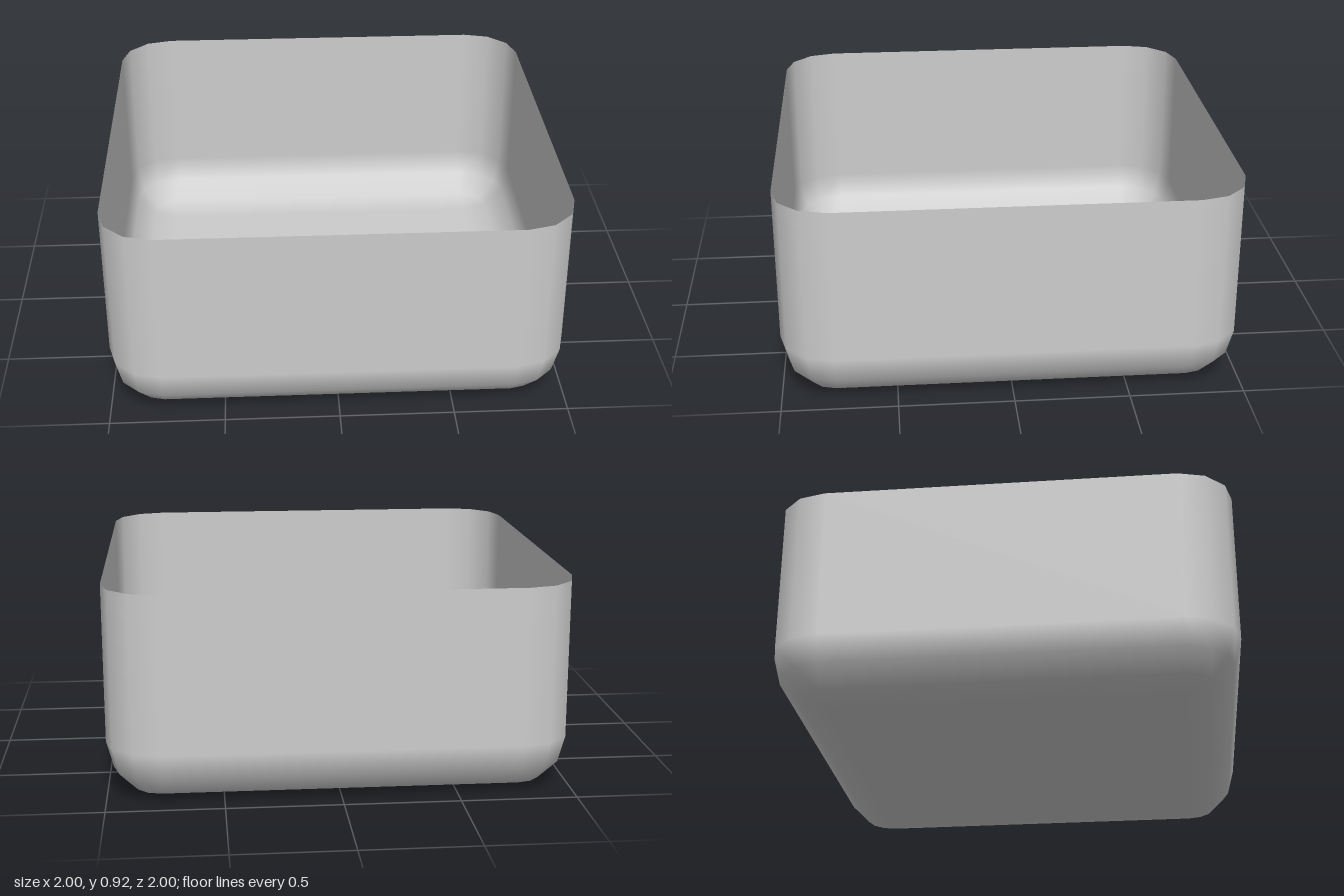
import * as THREE from 'three';

const R = 0.235;        // radius of every rounded edge
const CORE = 1 - R;     // distance from the centre to a corner's axis
const HEIGHT = 0.92;
const SEG = 3;          // facets per quarter round

// Open tray: rounded-square rings stacked from the floor to the rim
function trayGeometry() {
  const pos = [], nor = [], index = [];
  const n = 4 * (SEG + 1);
  const addRing = (phi, y) => {
    for (let corner = 0; corner < 4; corner++) {
      const mid = (corner + 0.5) * Math.PI / 2;
      const cx = CORE * Math.sign(Math.cos(mid)), cz = CORE * Math.sign(Math.sin(mid));
      for (let s = 0; s <= SEG; s++) {
        const a = (corner + s / SEG) * Math.PI / 2;
        const nx = Math.sin(phi) * Math.cos(a), nz = Math.sin(phi) * Math.sin(a);
        pos.push(cx + R * nx, y, cz + R * nz);
        nor.push(nx, -Math.cos(phi), nz);
      }
    }
  };
  for (let i = 0; i <= SEG; i++) {
    const phi = (i / SEG) * Math.PI / 2;
    addRing(phi, R - R * Math.cos(phi));
  }
  addRing(Math.PI / 2, HEIGHT);

  for (let ring = 0; ring <= SEG; ring++) {
    for (let i = 0; i < n; i++) {
      const j = (i + 1) % n;
      const a = ring * n + i, b = ring * n + j, c = a + n, d = b + n;
      index.push(a, c, d);
      // corner points coincide on the lowest ring
      if (ring > 0 || i % (SEG + 1) === SEG) index.push(a, d, b);
    }
  }
  // flat floor between the four lowest corners
  const k = SEG + 1;
  index.push(0, k, 2 * k, 0, 2 * k, 3 * k);

  const g = new THREE.BufferGeometry();
  g.setAttribute('position', new THREE.Float32BufferAttribute(pos, 3));
  g.setAttribute('normal', new THREE.Float32BufferAttribute(nor, 3));
  g.setIndex(index);
  return g;
}

export function createModel() {
  const model = new THREE.Group();

  const tray = new THREE.Mesh(trayGeometry(),
    new THREE.MeshStandardMaterial({ color: 0xcccccc, side: THREE.DoubleSide }));
  tray.name = 'tray';
  model.add(tray);

  // Tiny two-tone figure resting in the middle of the floor
  const figure = new THREE.Group();
  figure.name = 'tinyFigure';
  const addPart = (name, color, z, length) => {
    const part = new THREE.Mesh(new THREE.SphereGeometry(0.5, 8, 6),
      new THREE.MeshStandardMaterial({ color }));
    part.name = name;
    part.scale.set(0.01, 0.014, length);
    part.position.set(0.003, 0.008, z);
    figure.add(part);
  };
  addPart('figureTail', 0x333322, -0.016, 0.024);
  addPart('figureBody', 0x777711, 0.006, 0.032);
  model.add(figure);

  return model;
}
